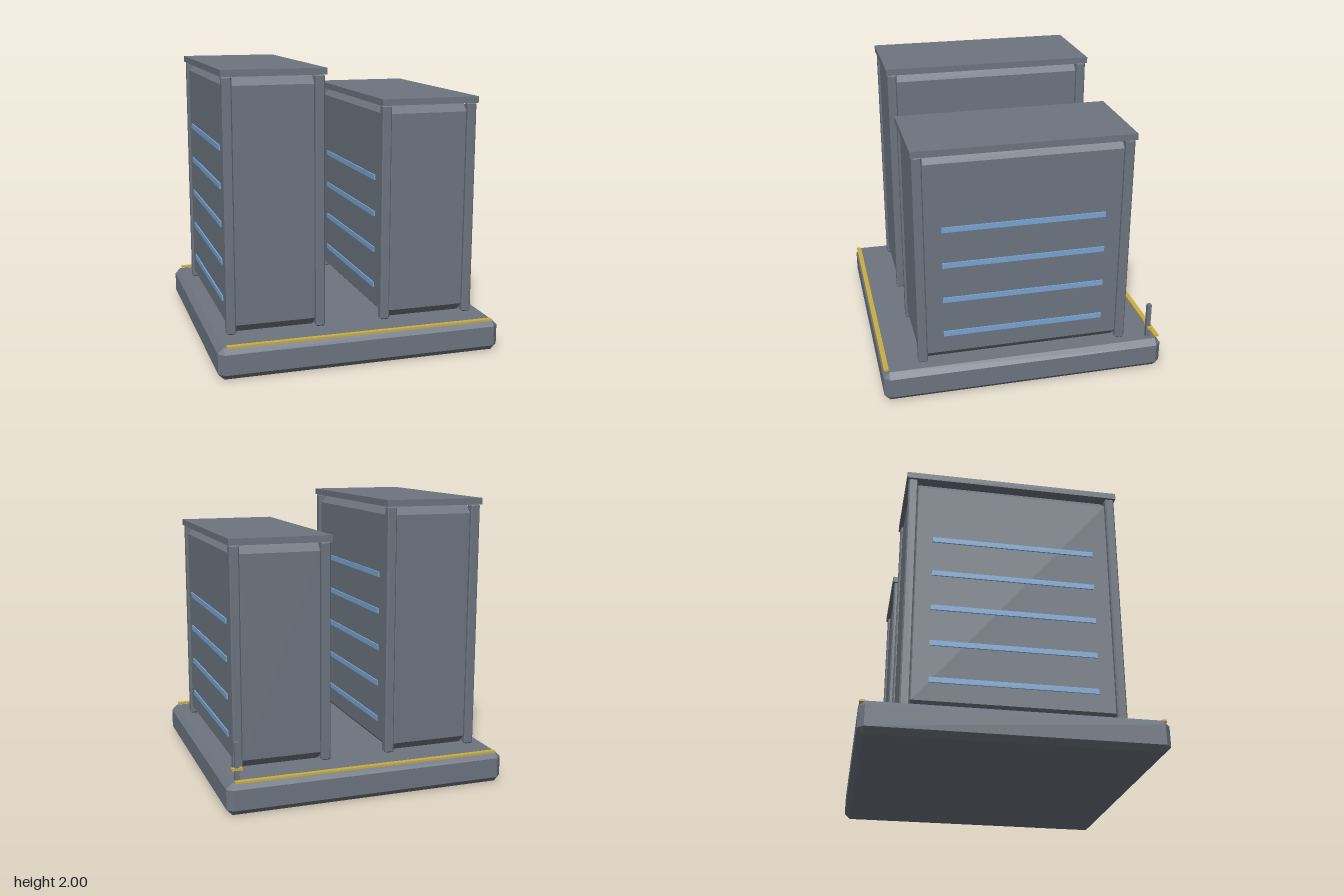
import * as THREE from 'three';
import { ConvexGeometry } from 'three/addons/geometries/ConvexGeometry.js';

const material = (name, color) => {
  const m = new THREE.MeshStandardMaterial({ color });
  m.name = name;
  return m;
};

// Box with every edge cut by a flat chamfer c
function chamferBox(w, h, d, c) {
  const pts = [];
  for (const sx of [-1, 1]) for (const sy of [-1, 1]) for (const sz of [-1, 1]) {
    for (let axis = 0; axis < 3; axis++) {
      const half = [w / 2 - c, h / 2 - c, d / 2 - c];
      half[axis] += c;
      pts.push(new THREE.Vector3(sx * half[0], sy * half[1], sz * half[2]));
    }
  }
  return new ConvexGeometry(pts);
}

export function createModel() {
  const grey = material('concrete grey', 0x6d7580);
  const blue = material('window blue', 0x7aa5d2);
  const yellow = material('marking yellow', 0xc9ae42);

  const model = new THREE.Group();
  model.name = 'twinTowers';

  const add = (parent, name, geometry, mat, x, y, z) => {
    const mesh = new THREE.Mesh(geometry, mat);
    mesh.name = name;
    mesh.position.set(x, y, z);
    parent.add(mesh);
  };

  // Chamfered plinth
  const floor = 0.22;
  add(model, 'base', chamferBox(2, floor, 2, 0.04), grey, 0, floor / 2, 0);

  // Yellow edge lines at front and back
  for (const s of [-1, 1])
    add(model, 'edgeStripe', new THREE.BoxGeometry(1.89, 0.014, 0.034), yellow, 0, 0.228, s * 0.977);

  // Tower: body, corner posts, roof slab and window bands on both long sides
  function tower(name, x, top, bands) {
    const g = new THREE.Group();
    g.name = name;
    g.position.x = x;
    model.add(g);
    const eave = top - 0.045;
    const h = eave - floor;
    const mid = floor + h / 2;
    add(g, 'body', chamferBox(0.664, h, 1.466, 0.06), grey, 0, mid, 0);
    add(g, 'roof', new THREE.BoxGeometry(0.71, 0.045, 1.514), grey, 0, top - 0.0225, 0);
    for (const sx of [-1, 1]) {
      for (const sz of [-1, 1])
        add(g, 'cornerPost', chamferBox(0.066, h, 0.066, 0.009), grey, sx * 0.313, mid, sz * 0.713);
      for (let i = 0; i < bands; i++)
        add(g, 'windowBand', new THREE.BoxGeometry(0.02, 0.037, 1.13), blue, sx * 0.331, 0.425 + i * 0.262, 0);
    }
  }
  tower('tallTower', -0.55, 2, 5);
  tower('shortTower', 0.55, 1.78, 4);

  // Small post with a yellow crossbar at the back corner
  add(model, 'signalPost', new THREE.BoxGeometry(0.03, 0.26, 0.03), grey, 0.916, 0.35, -0.917);
  add(model, 'signalCrossbar', new THREE.BoxGeometry(0.075, 0.016, 0.033), yellow, 0.916, 0.298, -0.921);

  return model;
}
